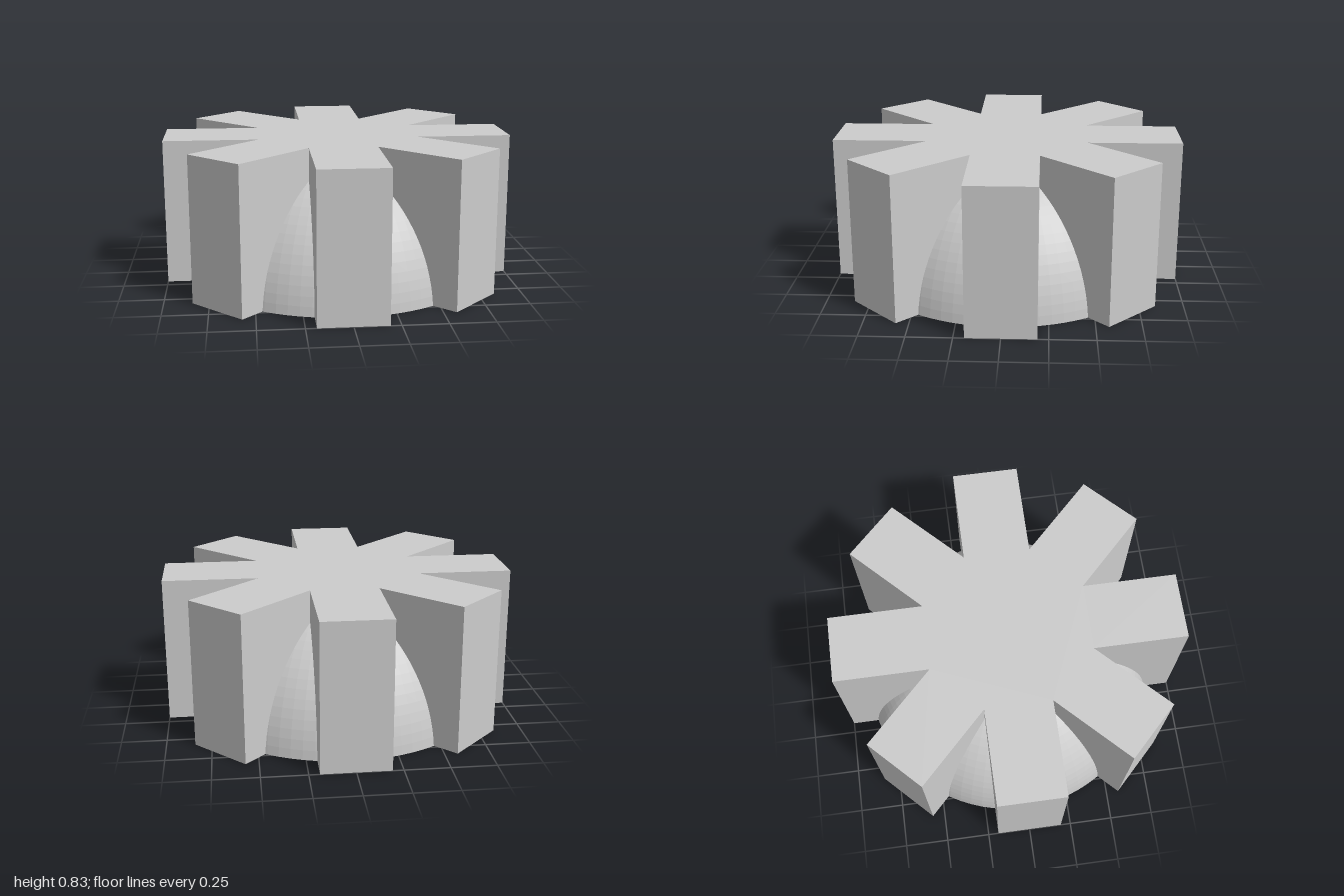
import * as THREE from 'three';

const H = 0.833;                          // overall height
const ARMS = 8;
const W = 0.191;                          // arm half width
const NOTCH = W / Math.tan(Math.PI / ARMS); // where neighbouring arms meet
const R_OUT = 0.87, R_IN = 0.805, DROP = 0.064; // shell spheres, centre below the base

const arcPoints = (r, n, a0, a1) => Array.from({ length: n + 1 }, (_, i) => {
  const a = a0 + (a1 - a0) * i / n;
  return new THREE.Vector2(Math.max(0, r * Math.cos(a)), r * Math.sin(a) - DROP);
});

export function createModel() {
  const model = new THREE.Group();
  const grey = new THREE.MeshStandardMaterial({ color: 0xcccccc });
  const faceted = new THREE.MeshStandardMaterial({ color: 0xcccccc, flatShading: true });
  const add = (parent, name, geometry, material = grey) => {
    const mesh = new THREE.Mesh(geometry, material);
    mesh.name = name;
    parent.add(mesh);
    return mesh;
  };

  // Hollow dome: outer skin up, cavity down, flat rim back to the start
  const outer = arcPoints(R_OUT, 24, Math.asin(DROP / R_OUT), Math.PI / 2);
  const inner = arcPoints(R_IN, 24, Math.PI / 2, Math.asin(DROP / R_IN));
  add(model, 'domeShell', new THREE.LatheGeometry([...outer, ...inner, outer[0].clone()], 80), faceted);

  // Star-shaped flat top
  const star = [];
  for (let i = 0; i < ARMS; i++) {
    const a = i * 2 * Math.PI / ARMS;
    for (const [x, y] of [[NOTCH, -W], [1, -W], [1, W]]) {
      star.push(new THREE.Vector2(x, y).rotateAround(new THREE.Vector2(), a));
    }
  }
  add(model, 'starTop', new THREE.ShapeGeometry(new THREE.Shape(star)).rotateX(-Math.PI / 2).translate(0, H, 0));

  // Arm side wall, its lower edge following the dome and ending inside the shell
  const rMid = (R_OUT + R_IN) / 2;
  const xBase = Math.sqrt(rMid ** 2 - DROP ** 2 - W ** 2);
  const side = [new THREE.Vector2(1, 0), new THREE.Vector2(1, H), new THREE.Vector2(NOTCH, H)];
  for (let i = 0; i <= 24; i++) {
    const x = NOTCH + (xBase - NOTCH) * Math.sin(i / 24 * Math.PI / 2);
    side.push(new THREE.Vector2(x, Math.max(0, Math.sqrt(rMid ** 2 - x * x - W * W) - DROP)));
  }
  const sideGeo = new THREE.ShapeGeometry(new THREE.Shape(side)).translate(0, 0, W);
  const endGeo = new THREE.PlaneGeometry(2 * W, H).rotateY(Math.PI / 2).translate(1, H / 2, 0);

  // Underside of an arm, from the rim to the tip
  const foot = new THREE.Shape();
  const rFoot = 0.855, aFoot = Math.asin(W / rFoot);
  foot.moveTo(1, -W);
  foot.lineTo(1, W);
  foot.absarc(0, 0, rFoot, aFoot, -aFoot, true);
  const footGeo = new THREE.ShapeGeometry(foot).rotateX(Math.PI / 2);

  for (let i = 0; i < ARMS; i++) {
    const arm = new THREE.Group();
    arm.name = 'arm' + (i + 1);
    arm.rotation.y = i * 2 * Math.PI / ARMS;
    add(arm, 'armSide', sideGeo);
    add(arm, 'armSideMirrored', sideGeo).scale.z = -1;
    add(arm, 'armEnd', endGeo);
    add(arm, 'armFoot', footGeo);
    model.add(arm);
  }
  return model;
}
